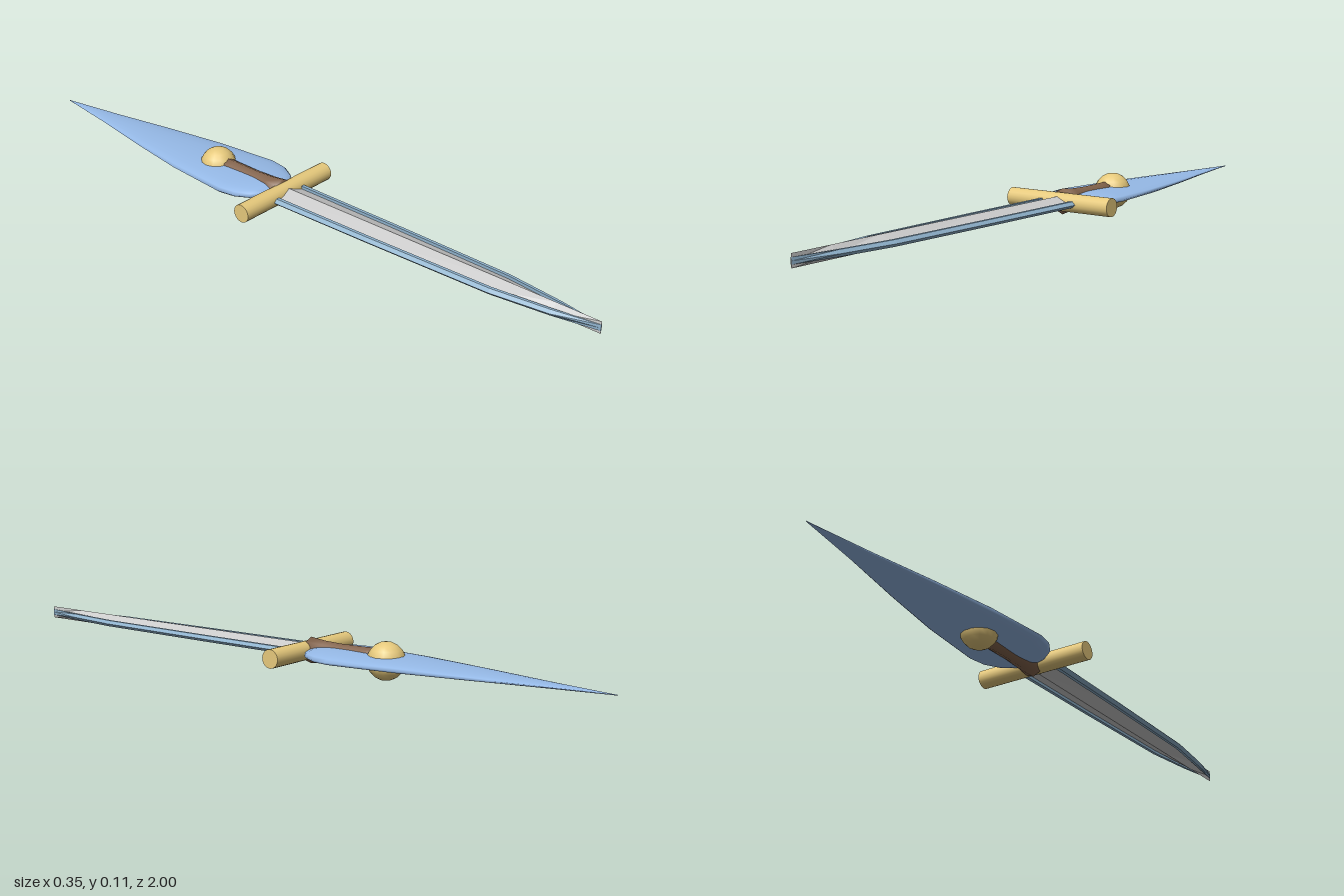
import * as THREE from 'three';

const MID = 0.057; // height of the long axis

const mat = (color, flatShading = false) =>
  new THREE.MeshStandardMaterial({ color, flatShading, side: THREE.DoubleSide });

function add(group, name, geometry, material, y = 0, z = 0) {
  const mesh = new THREE.Mesh(geometry, material);
  mesh.name = name;
  mesh.position.set(0, y, z);
  group.add(mesh);
  return mesh;
}

// Skin over rings of [x, y, z], counter-clockwise seen from +z, running towards +z
function loft(rings) {
  const n = rings[0].length, index = [];
  for (let i = 0; i < rings.length - 1; i++) {
    for (let k = 0; k < n; k++) {
      const a = i * n + k, b = i * n + (k + 1) % n;
      index.push(a, b, a + n, b, b + n, a + n);
    }
  }
  const last = (rings.length - 1) * n;
  for (let k = 1; k < n - 1; k++) {
    index.push(0, k + 1, k, last, last + k, last + k + 1);
  }
  const g = new THREE.BufferGeometry();
  g.setAttribute('position', new THREE.Float32BufferAttribute(rings.flat(2), 3));
  g.setIndex(index);
  g.computeVertexNormals();
  return g;
}

export function createModel() {
  const model = new THREE.Group();
  const gold = mat(0xe6c97c);
  const edgeBlue = mat(0x8fb2cc, true);

  // Blade outline: z, outer half-width, half-width of the grey core
  const blade = [
    [-0.05, 0.069, 0.048],
    [0.3, 0.064, 0.045],
    [0.7, 0.055, 0.037],
    [0.87, 0.033, 0.018],
    [1, 0.002, 0.001],
  ];

  // Ridged core, its ridge keeping its height up to the point
  add(model, 'bladeCore', loft(blade.map(([z, , c]) =>
    [[c, 0, z], [0, 0.018, z], [-c, 0, z], [0, -0.018, z]])), mat(0xcccccc, true), MID);

  // Raised, bevelled cutting edges on both sides
  for (const side of [1, -1]) {
    const rings = blade.map(([z, w, c]) => {
      const shoulder = c + (w - c) * 0.5;
      const ring = [[w, 0, z], [shoulder, 0.009, z], [c, 0.009, z], [c, -0.009, z], [shoulder, -0.009, z]]
        .map(([x, y, d]) => [x * side, y, d]);
      return side > 0 ? ring : ring.reverse();
    });
    add(model, side > 0 ? 'leftEdge' : 'rightEdge', loft(rings), edgeBlue, MID);
  }

  // Crossguard
  add(model, 'crossguard', new THREE.CylinderGeometry(0.027, 0.027, 0.352, 20).rotateZ(Math.PI / 2),
    gold, MID, -0.053);

  // Grip, slightly flared at the guard
  const grip = [[0.001, 0], [0.029, 0], [0.027, 0.06], [0.026, 0.14], [0.028, 0.2], [0.033, 0.25], [0.001, 0.25]]
    .map(([r, h]) => new THREE.Vector2(r, h));
  add(model, 'grip', new THREE.LatheGeometry(grip, 8).rotateX(Math.PI / 2).scale(1, 1.15, 1),
    mat(0x85654d), MID, -0.31);

  // Pommel
  add(model, 'pommel', new THREE.SphereGeometry(0.054, 14, 10), gold, MID, -0.317);

  // Leaf-shaped rear blade: z, half-width, half-thickness
  const leaf = [
    [-1, 0.001, 0.001],
    [-0.8, 0.034, 0.006],
    [-0.6, 0.072, 0.011],
    [-0.4, 0.105, 0.016],
    [-0.2, 0.123, 0.02],
    [-0.15, 0.114, 0.02],
    [-0.105, 0.088, 0.017],
    [-0.08, 0.055, 0.011],
  ];
  const SIDES = 16;
  add(model, 'rearLeaf', loft(leaf.map(([z, w, t]) =>
    Array.from({ length: SIDES }, (_, k) => {
      const a = (k / SIDES) * Math.PI * 2;
      return [Math.cos(a) * w, Math.sin(a) * t, z];
    }))), mat(0x96bae8), MID);

  return model;
}
